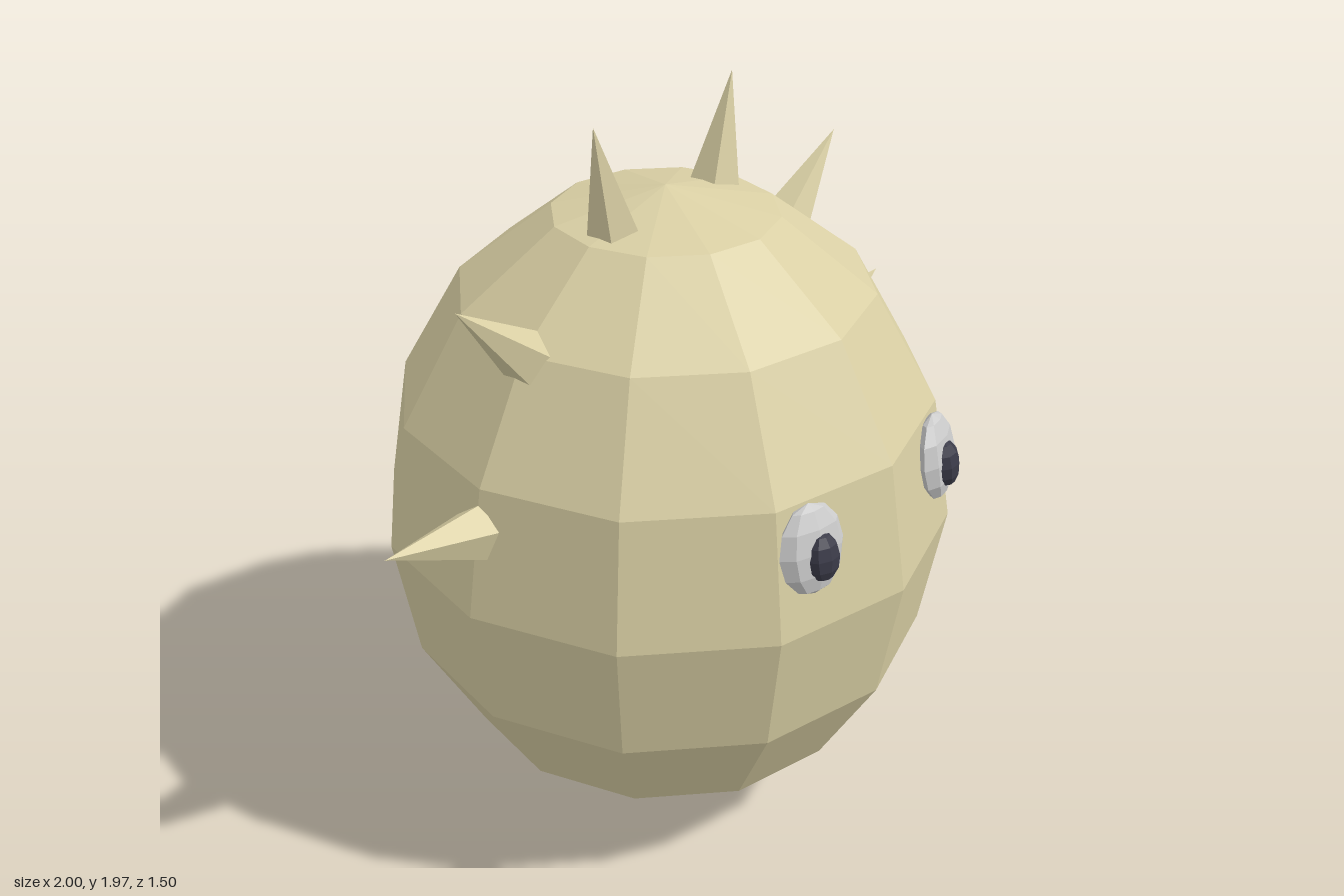
import * as THREE from 'three';

const material = (color) => new THREE.MeshStandardMaterial({ color, flatShading: true });

function ellipsoid(name, mat, radii, segments, rings) {
  const geometry = new THREE.SphereGeometry(1, segments, rings);
  geometry.scale(...radii);
  const mesh = new THREE.Mesh(geometry, mat);
  mesh.name = name;
  return mesh;
}

export function createModel() {
  const model = new THREE.Group();
  model.name = 'spikyCreature';
  const skin = material(0xd9cfa4);
  const eyeWhite = material(0xcccccc);
  const dark = material(0x3a3a48);

  // Egg-shaped faceted body
  const body = ellipsoid('body', skin, [0.75, 0.875, 0.75], 12, 8);
  body.position.y = 0.875;
  model.add(body);

  // Five-sided spikes fanned over the top: tip x, tip y, tilt from vertical in degrees
  const length = 0.3;
  const spikeGeometry = new THREE.ConeGeometry(0.07, length, 5);
  spikeGeometry.rotateY(Math.PI / 2); // one base corner towards local +x
  spikeGeometry.translate(0, -length / 2, 0); // origin at the tip
  const spikes = [[1.0, 1.17, 76.5], [0.735, 1.68, 48], [0.264, 1.97, 13.5]];
  for (const side of [1, -1]) {
    const sideName = side > 0 ? 'left' : 'right';
    spikes.forEach(([x, y, tilt], i) => {
      const spike = new THREE.Mesh(spikeGeometry, skin);
      spike.name = `${sideName}Spike${i + 1}`;
      spike.position.set(side * x, y, 0);
      spike.rotation.z = -side * THREE.MathUtils.degToRad(tilt);
      model.add(spike);
    });

    // Flattened eye lying on the body, with a raised pupil
    const eye = new THREE.Group();
    eye.name = `${sideName}Eye`;
    eye.position.set(side * 0.275, 1.1, 0.655);
    eye.rotation.set(-0.17, side * 0.26, 0, 'YXZ');
    const white = ellipsoid('eyeball', eyeWhite, [0.097, 0.116, 0.04], 8, 6);
    const pupil = ellipsoid('pupil', dark, [0.046, 0.062, 0.034], 8, 6);
    pupil.position.set(-side * 0.009, -0.015, 0.028);
    eye.add(white, pupil);
    model.add(eye);
  }
  return model;
}
